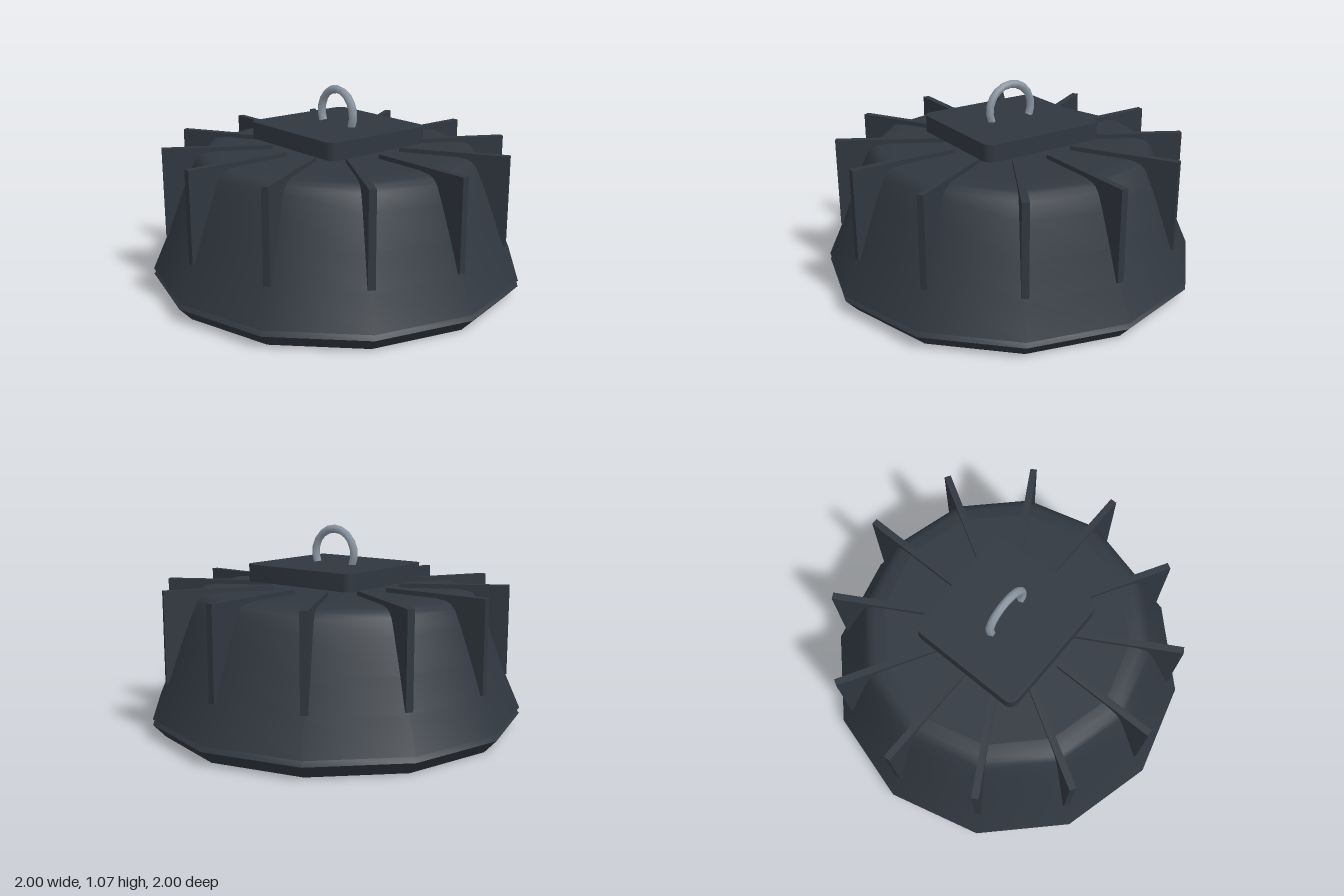
import * as THREE from 'three';
import { toCreasedNormals } from 'three/addons/utils/BufferGeometryUtils.js';

const SIDES = 12;
const mat = (color, side = THREE.FrontSide) => new THREE.MeshStandardMaterial({ color, side });

function lathe(points, sides = SIDES) {
  return new THREE.LatheGeometry(points.map(([r, y]) => new THREE.Vector2(r, y)), sides);
}

export function createModel() {
  const model = new THREE.Group();
  const dark = mat(0x30373f);
  const darkOpen = mat(0x30373f, THREE.DoubleSide);
  const metal = mat(0x8b97a3, THREE.DoubleSide);
  const panelGrey = mat(0x666666);
  const yellow = mat(0x8c7c45);

  function add(name, geometry, material, parent = model) {
    const mesh = new THREE.Mesh(geometry, material);
    mesh.name = name;
    parent.add(mesh);
    return mesh;
  }

  // Twelve-sided housing, smooth around its shoulder, with a flat lid
  add('housing', lathe([
    [1, 0.1], [0.925, 0.27], [0.865, 0.44], [0.8, 0.61],
    [0.765, 0.69], [0.74, 0.717], [0.71, 0.73], [0.65, 0.737],
  ]), darkOpen);
  const lid = add('housingLid', new THREE.CircleGeometry(0.65, SIDES), dark);
  lid.rotation.x = -Math.PI / 2;
  lid.position.y = 0.737;
  const base = add('housingBase', new THREE.CircleGeometry(1, SIDES), dark);
  base.rotation.x = Math.PI / 2;
  base.position.y = 0.1;

  // Bevelled ring closing the bottom
  add('bottomRing', toCreasedNormals(lathe([
    [0.86, 0.05], [0.86, 0.015], [0.89, 0], [0.935, 0], [1, 0.07], [0.975, 0.1],
  ]), 0.6), darkOpen);

  // Bright bezel around the light panel
  add('bezel', toCreasedNormals(lathe([
    [0.835, 0.06], [0.835, 0.015], [0.862, 0.015],
  ]), 0.6), metal);

  // Radial cooling fins
  const fins = new THREE.Group();
  fins.name = 'coolingFins';
  model.add(fins);
  const finGeometry = new THREE.BoxGeometry(0.575, 0.475, 0.036).translate(0.6375, 0.5225, 0);
  for (let i = 0; i < SIDES; i++) {
    add('fin', finGeometry, dark, fins).rotation.y = (i / SIDES) * Math.PI * 2;
  }

  // Rounded rectangular driver box
  const w = 0.35, d = 0.325, r = 0.05;
  const outline = new THREE.Shape();
  outline.absarc(w - r, d - r, r, 0, Math.PI / 2);
  outline.absarc(-w + r, d - r, r, Math.PI / 2, Math.PI);
  outline.absarc(-w + r, -d + r, r, Math.PI, Math.PI * 1.5);
  outline.absarc(w - r, -d + r, r, Math.PI * 1.5, Math.PI * 2);
  const boxGeometry = new THREE.ExtrudeGeometry(outline, { depth: 0.09, bevelEnabled: false, curveSegments: 4 });
  boxGeometry.rotateX(-Math.PI / 2);
  add('driverBox', toCreasedNormals(boxGeometry, 0.6), dark).position.y = 0.77;

  // Hanging loop
  const start = -0.44;
  const loop = add('hangingLoop', new THREE.TorusGeometry(0.13, 0.022, 6, 12, Math.PI - 2 * start), metal);
  loop.rotation.z = start;
  loop.position.y = 0.914;

  // Light panel on the underside
  const panel = add('lightPanel', new THREE.CircleGeometry(0.84, SIDES), panelGrey);
  panel.rotation.x = Math.PI / 2;
  panel.position.y = 0.04;
  add('centreCap', new THREE.CylinderGeometry(0.105, 0.105, 0.025, 24), metal).position.y = 0.03;

  // Three circles of small lenses, each with a yellow emitter
  const lenses = new THREE.Group();
  lenses.name = 'lenses';
  model.add(lenses);
  const lensGeometry = new THREE.CylinderGeometry(0.038, 0.03, 0.015, 12);
  const emitterGeometry = new THREE.CylinderGeometry(0.013, 0.013, 0.006, 8);
  for (const [radius, count] of [[0.38, 12], [0.57, 24], [0.765, 36]]) {
    for (let i = 0; i < count; i++) {
      const a = (i / count) * Math.PI * 2;
      const x = Math.cos(a) * radius, z = Math.sin(a) * radius;
      add('lens', lensGeometry, panelGrey, lenses).position.set(x, 0.034, z);
      add('emitter', emitterGeometry, yellow, lenses).position.set(x, 0.025, z);
    }
  }
  return model;
}
